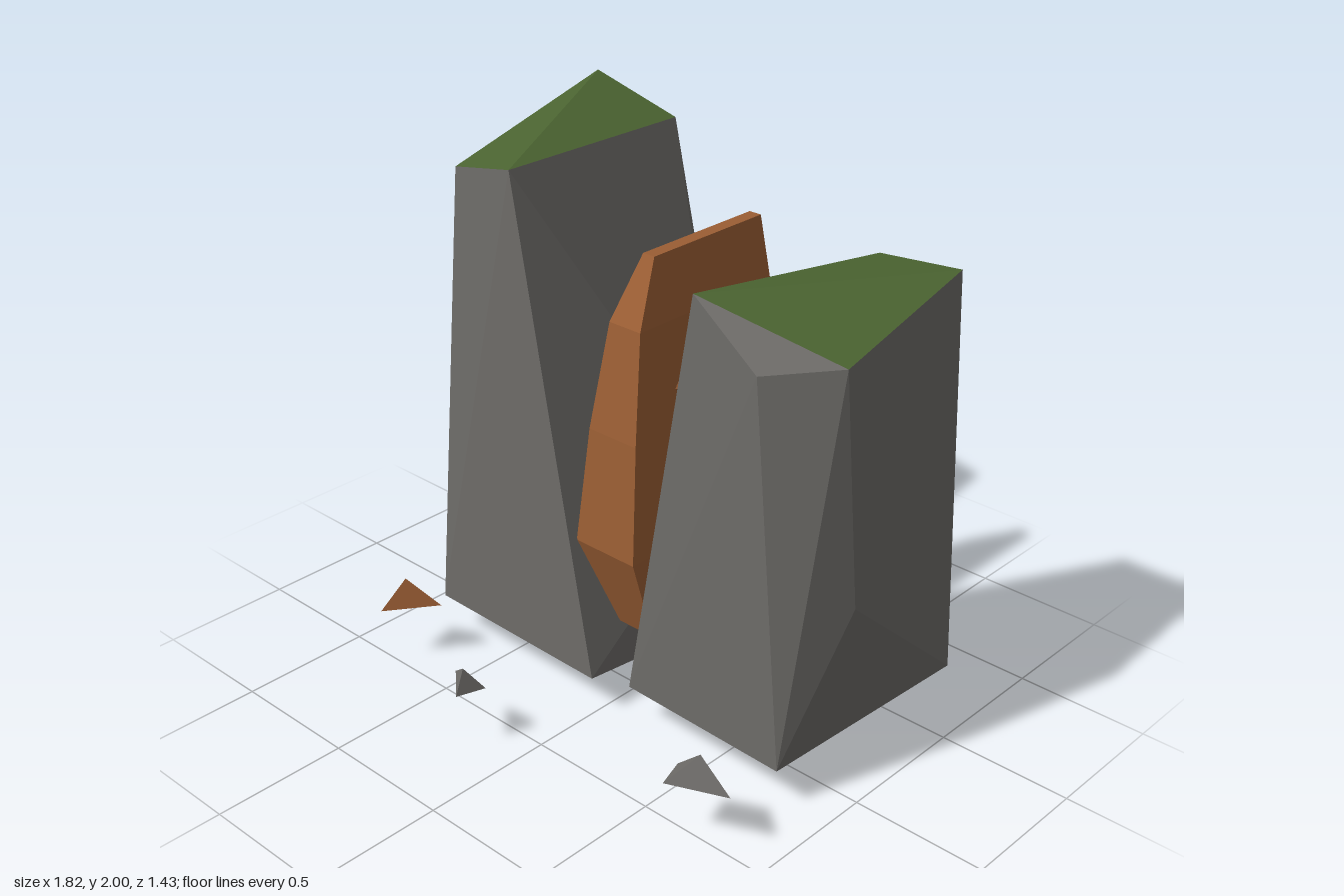
import * as THREE from 'three';
import { ConvexGeometry } from 'three/addons/geometries/ConvexGeometry.js';

const mat = (name, color) => Object.assign(new THREE.MeshStandardMaterial({ color }), { name });
const vec = (p) => new THREE.Vector3(...p);

export function createModel() {
  const stone = mat('greyStone', 0x6d6b68);
  const moss = mat('greenMoss', 0x4b6431);
  const ore = mat('copperOre', 0x9b5e34);
  const model = new THREE.Group();
  model.name = 'oreRock';

  const add = (parent, name, geometry, material) => {
    const mesh = new THREE.Mesh(geometry, material);
    mesh.name = name;
    parent.add(mesh);
    return mesh;
  };

  // Faceted boulder: hull of top and body corners; faces between top corners are moss
  function boulder(name, top, body) {
    const hull = new ConvexGeometry([...top, ...body].map(vec));
    const pos = hull.attributes.position;
    const tops = top.map(vec);
    const faces = { moss: [], stone: [] };
    const v = new THREE.Vector3();
    for (let i = 0; i < pos.count; i += 3) {
      const corners = [0, 1, 2].map((k) => v.fromBufferAttribute(pos, i + k).clone());
      const isTop = corners.every((c) => tops.some((t) => t.distanceTo(c) < 1e-4));
      faces[isTop ? 'moss' : 'stone'].push(...corners);
    }
    const group = new THREE.Group();
    group.name = name;
    for (const [part, material] of [['stone', stone], ['moss', moss]]) {
      const g = new THREE.BufferGeometry().setFromPoints(faces[part]);
      g.computeVertexNormals();
      add(group, part === 'moss' ? 'mossTop' : 'stoneBody', g, material);
    }
    model.add(group);
  }

  boulder('tallRock',
    [[-0.84, 2, -0.67], [-0.48, 1.89, -0.7], [-0.43, 1.92, 0.17], [-0.74, 1.85, 0.13]],
    [[-0.7, 1.93, -0.72], [-0.91, 1, -0.45], [-0.03, 0.65, -0.5], [-0.86, 0.15, -0.03],
      [-0.8, 0.15, 0.23], [0, 0.15, 0.245], [-0.07, 0.15, -0.7], [-0.82, 0.15, -0.69],
      [-0.83, 0.06, 0.03], [-0.02, 0.04, -0.55]]);

  boulder('shortRock',
    [[0.44, 1.61, -0.72], [0.8, 1.66, -0.68], [0.86, 1.55, -0.01], [0.36, 1.7, 0.14]],
    [[0.65, 1.52, 0.17], [0.91, 0.7, -0.05], [0.11, 0.5, -0.25], [0.13, 0.15, 0.19],
      [0.82, 0.15, 0.21], [0.87, 0.15, -0.69], [0.13, 0.15, -0.65], [0.11, 0, -0.3]]);

  // Ore slab between the rocks: a box whose rows follow [y, left edge, right edge, front z]
  const rows = [[0.31, -0.06, 0.14, 0.08], [0.65, -0.12, 0.15, 0.19], [1.08, -0.09, 0.125, 0.15],
    [1.46, -0.06, 0.08, 0.08], [1.68, -0.02, 0.03, -0.04]];
  const box = new THREE.BoxGeometry(1, 1, 1, 1, 4, 1);
  const p = box.attributes.position;
  for (let i = 0; i < p.count; i++) {
    const [y, x0, x1, front] = rows[Math.round((p.getY(i) + 0.5) * 4)];
    p.setXYZ(i, p.getX(i) < 0 ? x0 : x1, y, p.getZ(i) > 0 ? front : -0.58);
  }
  const slab = box.toNonIndexed();
  slab.computeVertexNormals();
  add(model, 'oreSlab', slab, ore);

  // Ore crystals on the slab's sides: x, y, z, half sizes in x, y, z
  for (const [x, y, z, sx, sy, sz] of [
    [-0.1, 1.22, -0.34, 0.05, 0.08, 0.075], [-0.1, 0.5, -0.1, 0.045, 0.08, 0.085],
    [0.11, 1.22, -0.12, 0.045, 0.08, 0.06], [0.14, 0.83, -0.34, 0.042, 0.075, 0.085],
    [0.145, 0.57, -0.08, 0.033, 0.055, 0.06]]) {
    const crystal = add(model, 'oreCrystal', new THREE.OctahedronGeometry(1), ore);
    crystal.position.set(x, y, z);
    crystal.scale.set(sx, sy, sz);
  }

  // Loose shards: three base corners (x, z) and an apex
  const shard = (name, base, apex, material) =>
    add(model, name, new ConvexGeometry([...base.map(([x, z]) => vec([x, 0.22, z])), vec(apex)]), material);
  shard('oreShard', [[-0.845, 0.4], [-0.67, 0.36], [-0.8, 0.54]], [-0.77, 0.33, 0.44], ore);
  shard('stoneShard', [[-0.31, 0.61], [-0.155, 0.61], [-0.19, 0.715]], [-0.2, 0.31, 0.67], stone);
  shard('stoneShard', [[0.615, 0.47], [0.86, 0.49], [0.65, 0.58]], [0.73, 0.325, 0.49], stone);

  return model;
}
